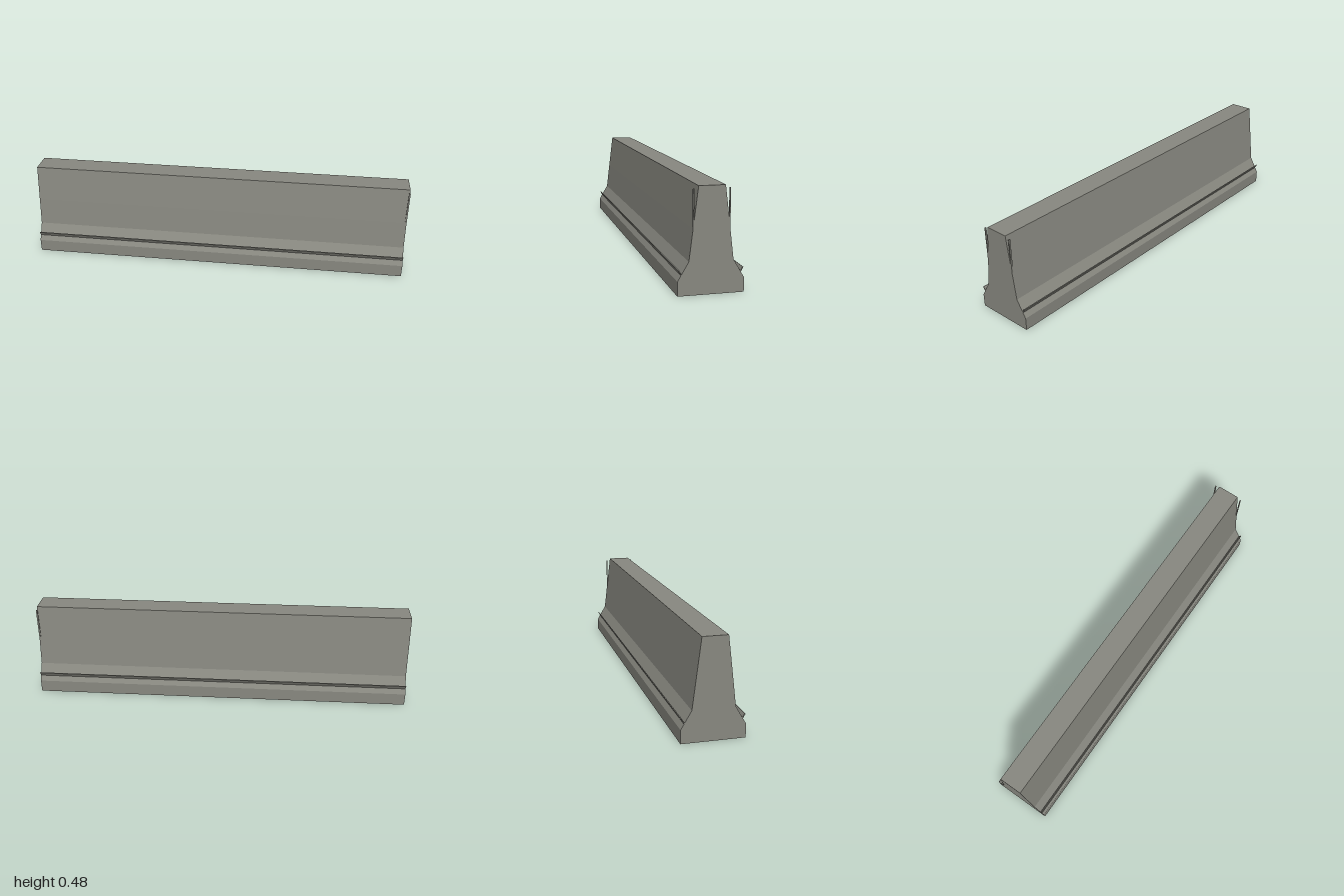
import * as THREE from 'three';

export function createModel() {
  const group = new THREE.Group();
  const concrete = new THREE.MeshStandardMaterial({ color: 0x888880 });
  concrete.name = 'concreteGrey';

  // Extrudes a closed [z, y] outline along x between x0 and x1
  function extrudeAlongX(name, outline, x0, x1) {
    const shape = new THREE.Shape(outline.map(([z, y]) => new THREE.Vector2(-z, y)));
    const geometry = new THREE.ExtrudeGeometry(shape, { depth: x1 - x0, bevelEnabled: false });
    geometry.rotateY(Math.PI / 2);
    geometry.translate(x0, 0, 0);
    const mesh = new THREE.Mesh(geometry, concrete);
    mesh.name = name;
    group.add(mesh);
  }

  // Barrier body: stepped, tapering cross-section
  const half = [[0.15, 0], [0.15, 0.065], [0.1, 0.15], [0.083, 0.29], [0.06, 0.477]];
  const mirrored = half.map(([z, y]) => [-z, y]).reverse();
  extrudeAlongX('barrierBody', [...half, ...mirrored], -1, 1);

  for (const [side, s] of [['front', 1], ['back', -1]]) {
    // Thin ledge leaning outwards along the lower slope
    const ledge = [[0.13, 0.092], [0.134, 0.09], [0.146, 0.112], [0.142, 0.114]];
    extrudeAlongX(side + 'Ledge', ledge.map(([z, y]) => [s * z, y]), -1, 1);

    // Upright strip at the left end
    const strip = new THREE.Mesh(new THREE.BoxGeometry(0.008, 0.175, 0.005), concrete);
    strip.position.set(0.996, 0.3775, s * 0.081);
    strip.name = side + 'EndStrip';
    group.add(strip);
  }
  return group;
}
